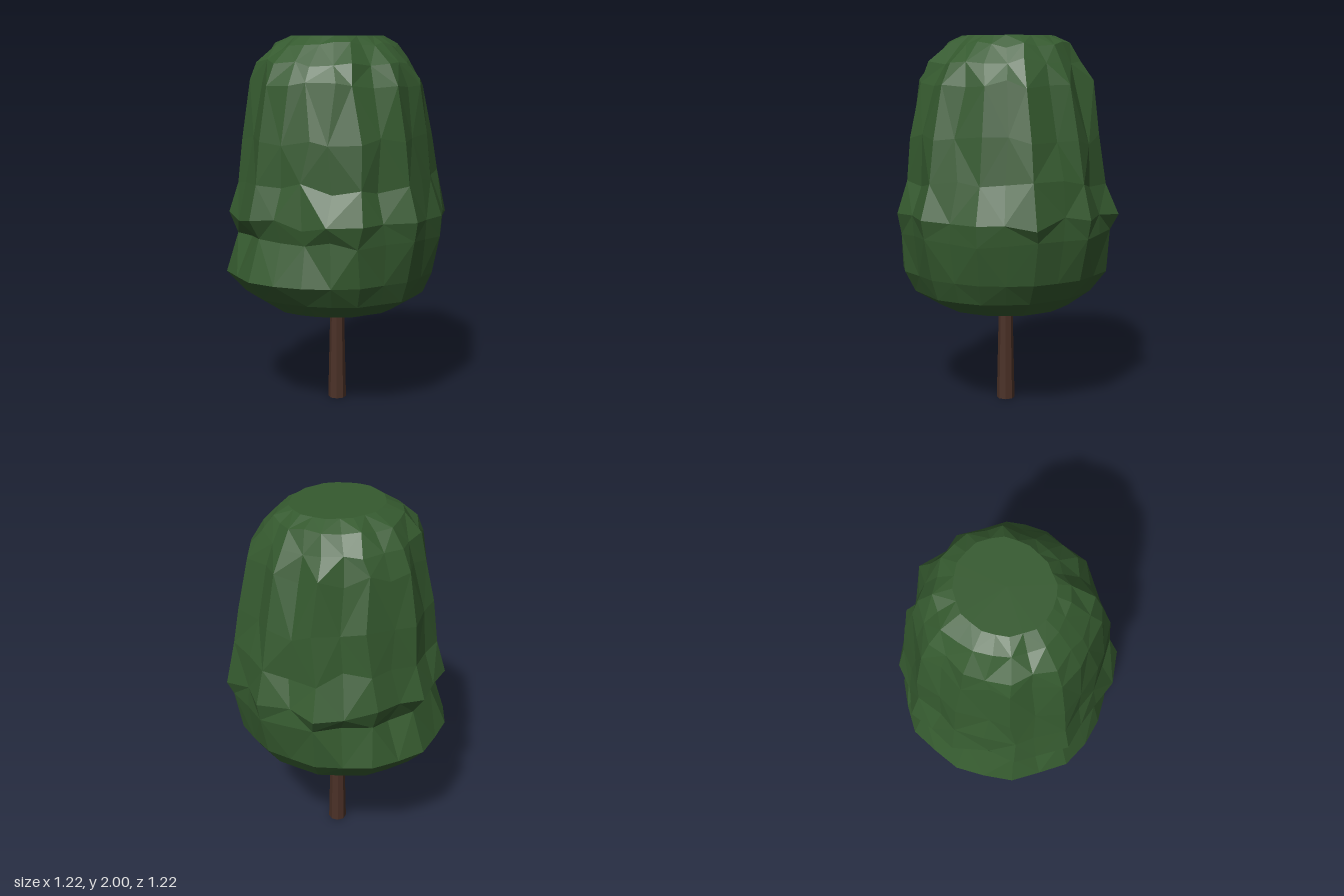
import * as THREE from 'three';

const SIDES = 24;

// Small seeded generator, returns -1..1
function seeded(seed) {
  let s = seed;
  return () => {
    s = (s * 16807) % 2147483647;
    return (s / 2147483647) * 2 - 1;
  };
}

// Crown cross-sections: height, reach toward +x, -x, +z, -z, roughness
const RINGS = [
  [0.55, 0.34, 0.37, 0.35, 0.37, 0],
  [0.64, 0.46, 0.51, 0.50, 0.51, 0],
  [0.75, 0.54, 0.61, 0.54, 0.61, 0],
  [0.97, 0.59, 0.54, 0.59, 0.53, 0.6],
  [1.07, 0.61, 0.60, 0.61, 0.60, 1],
  [1.25, 0.56, 0.555, 0.55, 0.54, 1],
  [1.47, 0.52, 0.53, 0.52, 0.53, 1],
  [1.75, 0.46, 0.48, 0.46, 0.48, 1],
  [1.86, 0.40, 0.43, 0.40, 0.43, 0.8],
  [1.95, 0.35, 0.33, 0.29, 0.36, 0.5],
  [2.00, 0.265, 0.25, 0.225, 0.25, 0],
];

// Bumps of the outline around the crown, every 15 degrees from +x toward +z
const BUMPS = [1, 0.94, 0.99, 0.93, 0.97, 0.93, 1, 0.92, 1.01, 0.95, 0.93, 0.94,
  1, 0.92, 0.99, 0.93, 0.97, 0.92, 1, 0.92, 0.97, 0.92, 1.0, 0.94];

function crownGeometry() {
  const rnd = seeded(421);
  const rings = RINGS.map(([y, px, nx, pz, nz, rough]) => {
    const ring = [];
    for (let i = 0; i < SIDES; i++) {
      const cardinal = i % 6 === 0;
      const a = (i / SIDES) * Math.PI * 2 + (cardinal ? 0 : rnd() * 0.05 * rough);
      const c = Math.cos(a), s = Math.sin(a);
      const reach = (c > 0 ? px : nx) * c * c + (s > 0 ? pz : nz) * s * s;
      const bump = 1 + (BUMPS[i] - 1) * (0.4 + 0.6 * rough);
      const r = reach * bump * (1 + (cardinal ? 0 : rnd() * 0.035 * rough));
      const lift = cardinal ? 0 : rnd() * 0.035 * rough;
      ring.push([c * r, y + lift, s * r]);
    }
    return ring;
  });

  const pos = [];
  const tri = (a, b, c) => pos.push(...a, ...b, ...c);
  const last = rings.length - 1;
  for (let i = 0; i < SIDES; i++) {
    const j = (i + 1) % SIDES;
    for (let k = 0; k < last; k++) {
      const a = rings[k][i], b = rings[k][j], c = rings[k + 1][j], d = rings[k + 1][i];
      // Alternate diagonals for a faceted surface
      if ((i + k) % 2) { tri(a, d, c); tri(a, c, b); }
      else { tri(a, d, b); tri(b, d, c); }
    }
    // Flat top and underside
    tri([0, 2, 0], rings[last][j], rings[last][i]);
    tri([0, 0.55, 0], rings[0][i], rings[0][j]);
  }
  const geo = new THREE.BufferGeometry();
  geo.setAttribute('position', new THREE.Float32BufferAttribute(pos, 3));
  geo.computeVertexNormals();
  return geo;
}

export function createModel() {
  const tree = new THREE.Group();
  tree.name = 'tree';

  // Slim tapered trunk, running a little way into the crown
  const trunk = new THREE.Mesh(
    new THREE.CylinderGeometry(0.036, 0.05, 0.62, 8),
    new THREE.MeshStandardMaterial({ color: 0x4a3026, flatShading: true })
  );
  trunk.name = 'trunk';
  trunk.position.y = 0.31;
  tree.add(trunk);

  // Rugged barrel-shaped crown
  const crown = new THREE.Mesh(
    crownGeometry(),
    new THREE.MeshStandardMaterial({ color: 0x355a2f, flatShading: true })
  );
  crown.name = 'crown';
  tree.add(crown);

  return tree;
}
